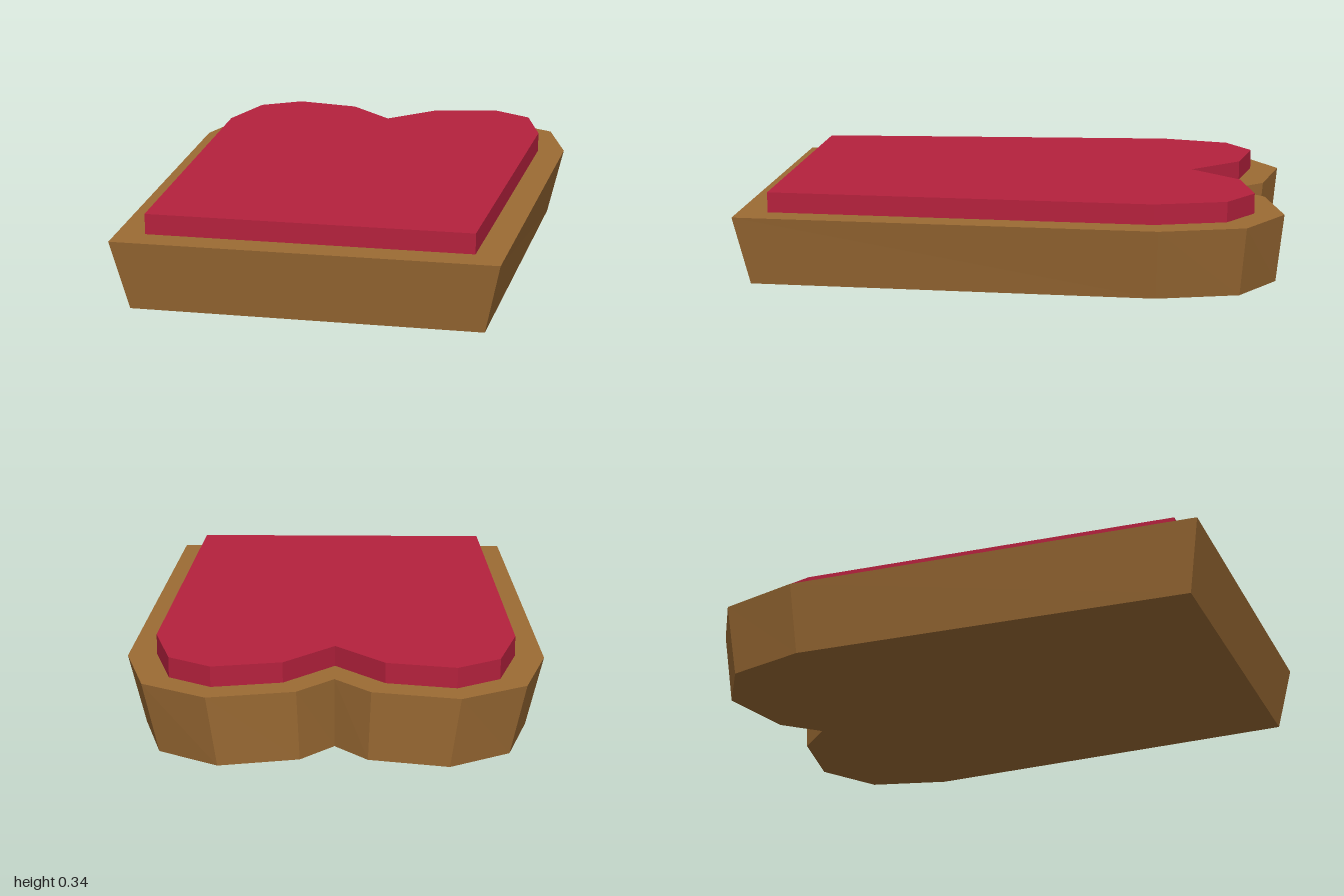
import * as THREE from 'three';

// Right-hand half outlines as [x, z], from the notch round to the front corner
const BASE = [[0, -0.8], [0.13, -0.935], [0.44, -1], [0.675, -0.86], [0.76, -0.55], [0.69, 1]];
const PAD = [[0, -0.655], [0.18, -0.84], [0.43, -0.89], [0.585, -0.79], [0.655, -0.53], [0.59, 0.89]];

// Mirrors a half outline and extrudes it upwards from y = 0
function slab(half, height) {
  const mirrored = half.slice(1).reverse().map(([x, z]) => [-x, z]);
  const points = [...half, ...mirrored].map(([x, z]) => new THREE.Vector2(x, -z));
  const geometry = new THREE.ExtrudeGeometry(new THREE.Shape(points), { depth: height, bevelEnabled: false });
  return geometry.rotateX(-Math.PI / 2);
}

export function createModel() {
  const group = new THREE.Group();
  const wood = new THREE.MeshStandardMaterial({ name: 'brown', color: 0x9c6b34, flatShading: true });
  const fabric = new THREE.MeshStandardMaterial({ name: 'crimson', color: 0xb5213d, flatShading: true });

  // Tray body, narrowing towards the floor
  const bodyGeometry = slab(BASE, 0.26);
  const pos = bodyGeometry.attributes.position;
  for (let i = 0; i < pos.count; i++) {
    if (pos.getY(i) < 0.13) {
      pos.setX(i, pos.getX(i) * 0.92);
      pos.setZ(i, pos.getZ(i) * 0.9625 - 0.0125);
    }
  }
  bodyGeometry.computeVertexNormals();
  const body = new THREE.Mesh(bodyGeometry, wood);
  body.name = 'body';

  // Raised inset panel on top
  const panel = new THREE.Mesh(slab(PAD, 0.075), fabric);
  panel.name = 'topPanel';
  panel.position.y = 0.26;

  group.add(body, panel);
  return group;
}
